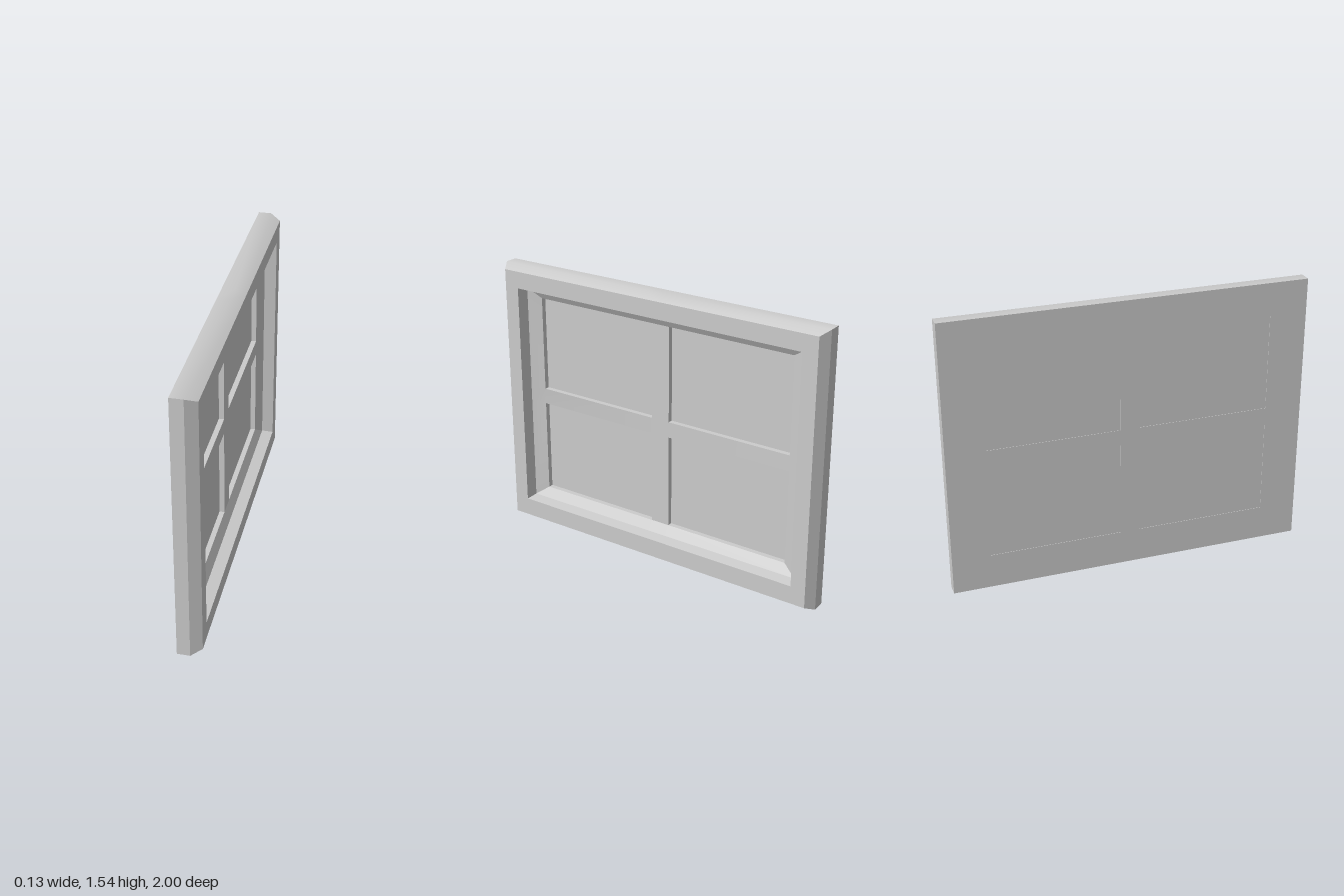
import * as THREE from 'three';
import { toCreasedNormals } from 'three/addons/utils/BufferGeometryUtils.js';

// Bar edges: z runs from the left to the right of the window's face, y upwards
const Z = [0.79, 0.055, -0.055, -0.79];
const Y = [0.195, 0.73, 0.82, 1.36];
const BACK = -0.064, BAR = -0.03, PANE = -0.06;

// Rectangle as a loop of 12 points, split where the glazing bars meet it
function loop([half, low, high, x]) {
  const z = [half, Z[1], Z[2], -half], y = [low, Y[1], Y[2], high];
  return [
    ...[0, 1, 2].map(i => [x, low, z[i]]),
    ...[0, 1, 2].map(i => [x, y[i], -half]),
    ...[3, 2, 1].map(i => [x, high, z[i]]),
    ...[3, 2, 1].map(i => [x, y[i], half]),
  ];
}

// Corners of one grid cell, anticlockwise as seen from +x
const cell = (z, y, i, j, x) => [
  [x, y[j], z[i]], [x, y[j], z[i + 1]], [x, y[j + 1], z[i + 1]], [x, y[j + 1], z[i]],
];

function frameGeometry() {
  const pos = [];
  const quad = (a, b, c, d) => pos.push(...a, ...b, ...c, ...a, ...c, ...d);
  // Alternate diagonal, so the mitres stay clean at the end of a side
  const quadFlip = (a, b, c, d) => pos.push(...a, ...b, ...d, ...b, ...c, ...d);
  const bridge = (a, b) => a.forEach((p, i) => {
    const n = (i + 1) % a.length;
    (i % 3 === 0 ? quad : quadFlip)(p, a[n], b[n], b[i]);
  });

  // Outer side, bevel, front face, inner wall and sloping bead
  const rings = [
    [1, 0, 1.545, BACK],
    [1, 0, 1.545, 0.006],
    [0.965, 0.027, 1.52, 0.064],
    [0.88, 0.13, 1.425, 0.064],
    [0.867, 0.14, 1.415, 0],
    [Z[0], Y[0], Y[3], BAR],
  ].map(loop);
  for (let k = 0; k < rings.length - 1; k++) bridge(rings[k], rings[k + 1]);

  // Front of the crossing bars and the walls of the four openings
  for (let i = 0; i < 3; i++) for (let j = 0; j < 3; j++) {
    const front = cell(Z, Y, i, j, BAR);
    if (i === 1 || j === 1) quad(...front);
    else bridge(front, cell(Z, Y, i, j, BACK));
  }

  // Flat back with four openings
  const zb = [1, ...Z, -1], yb = [0, ...Y, 1.545];
  for (let i = 0; i < 5; i++) for (let j = 0; j < 5; j++) {
    if (i % 2 && j % 2) continue;
    quad(...cell(zb, yb, i, j, BACK).reverse());
  }

  const geometry = new THREE.BufferGeometry();
  geometry.setAttribute('position', new THREE.Float32BufferAttribute(pos, 3));
  return toCreasedNormals(geometry, 0.45);
}

export function createModel() {
  const model = new THREE.Group();
  model.name = 'window';
  const material = new THREE.MeshStandardMaterial({ color: 0xcccccc });

  const frame = new THREE.Mesh(frameGeometry(), material);
  frame.name = 'frame';
  model.add(frame);

  // Thin panes, set just inside the back
  const panes = new THREE.Group();
  panes.name = 'panes';
  for (const i of [0, 2]) for (const j of [0, 2]) {
    const pane = new THREE.Mesh(
      new THREE.BoxGeometry(0.003, Y[j + 1] - Y[j], Z[i] - Z[i + 1]), material);
    pane.position.set(PANE, (Y[j] + Y[j + 1]) / 2, (Z[i] + Z[i + 1]) / 2);
    pane.name = 'pane';
    panes.add(pane);
  }
  model.add(panes);
  return model;
}
